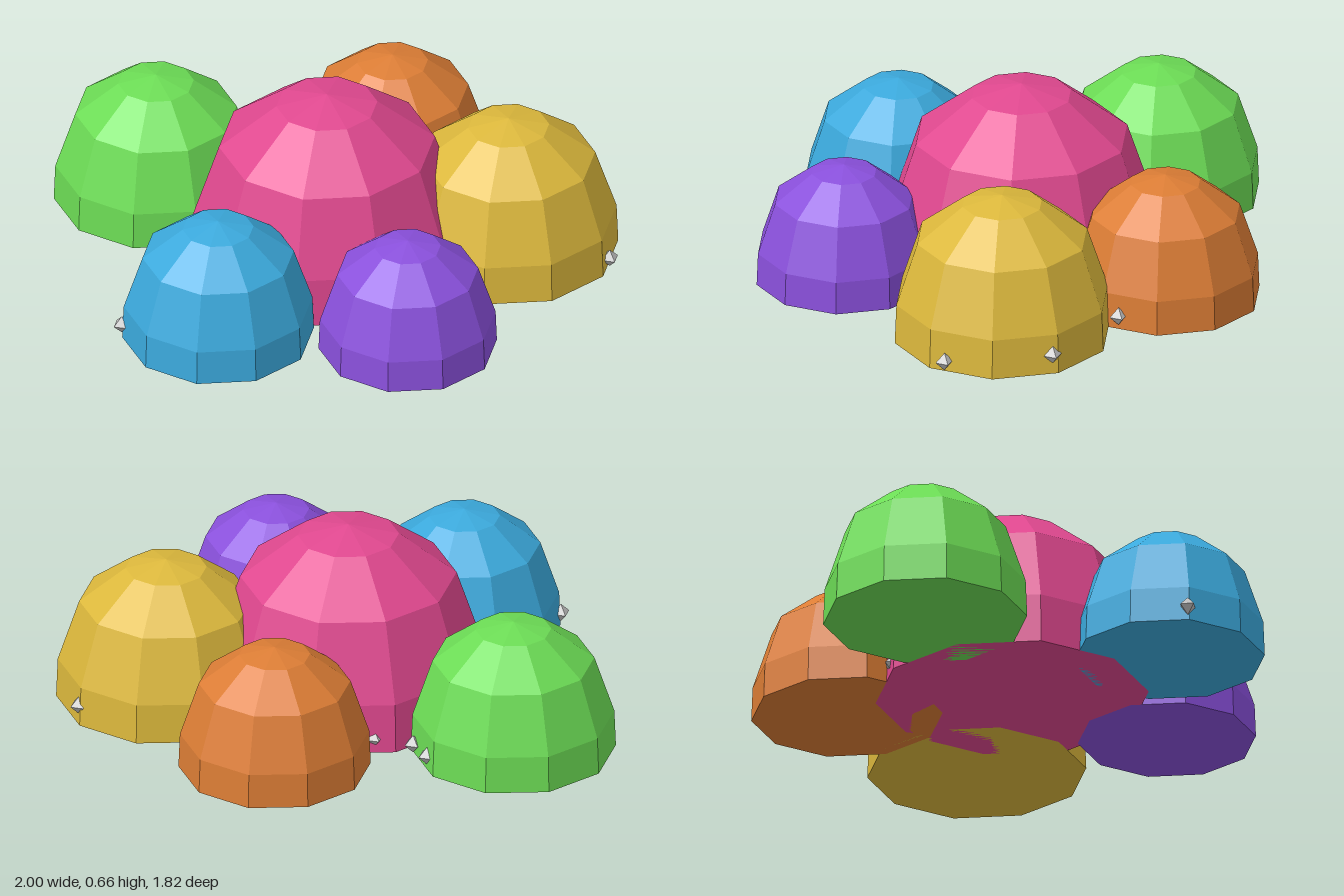
import * as THREE from 'three';

const flat = (name, color) => {
  const m = new THREE.MeshStandardMaterial({ color });
  m.name = name;
  m.flatShading = true;
  return m;
};

export function createModel() {
  const group = new THREE.Group();
  group.name = 'domeCluster';

  // Ten-sided dome of unit radius: closed base, short wall, three sloping bands
  const profile = [[0, 0], [1, 0], [0.985, 0.38], [0.79, 0.97], [0.37, 1.3], [0, 1.383]];
  const domeGeometry = new THREE.LatheGeometry(profile.map(([r, y]) => new THREE.Vector2(r, y)), 10);

  // name, colour, x, z, radius
  const domes = [
    ['pink', 0xe0488f, 0, 0.005, 0.475],
    ['green', 0x6cdc55, -0.66, -0.23, 0.355],
    ['orange', 0xdc7d35, 0.1, -0.58, 0.333],
    ['yellow', 0xdcb83c, 0.603, -0.18, 0.381],
    ['blue', 0x3ba9dc, -0.256, 0.577, 0.333],
    ['purple', 0x8a50dc, 0.4, 0.502, 0.31],
  ];
  for (const [name, color, x, z, radius] of domes) {
    const dome = new THREE.Mesh(domeGeometry, flat(name, color));
    dome.name = name + 'Dome';
    dome.position.set(x, 0, z);
    dome.scale.setScalar(radius);
    group.add(dome);
  }

  // Small grey crystals around the foot of the domes
  const grey = flat('grey', 0xc0c0c0);
  const crystalGeometry = new THREE.OctahedronGeometry(0.033).rotateY(Math.PI / 4);
  const crystals = [
    [-0.575, 0.05, 0.675], [0.42, 0.05, -0.54], [0.835, 0.07, -0.47], [0.975, 0.04, -0.122],
    [-0.34, 0.04, -0.375], [-0.415, 0.05, -0.465], [-0.205, 0.05, -0.39],
  ];
  crystals.forEach((p, i) => {
    const crystal = new THREE.Mesh(crystalGeometry, grey);
    crystal.name = 'crystal' + (i + 1);
    crystal.position.set(...p);
    group.add(crystal);
  });

  return group;
}
